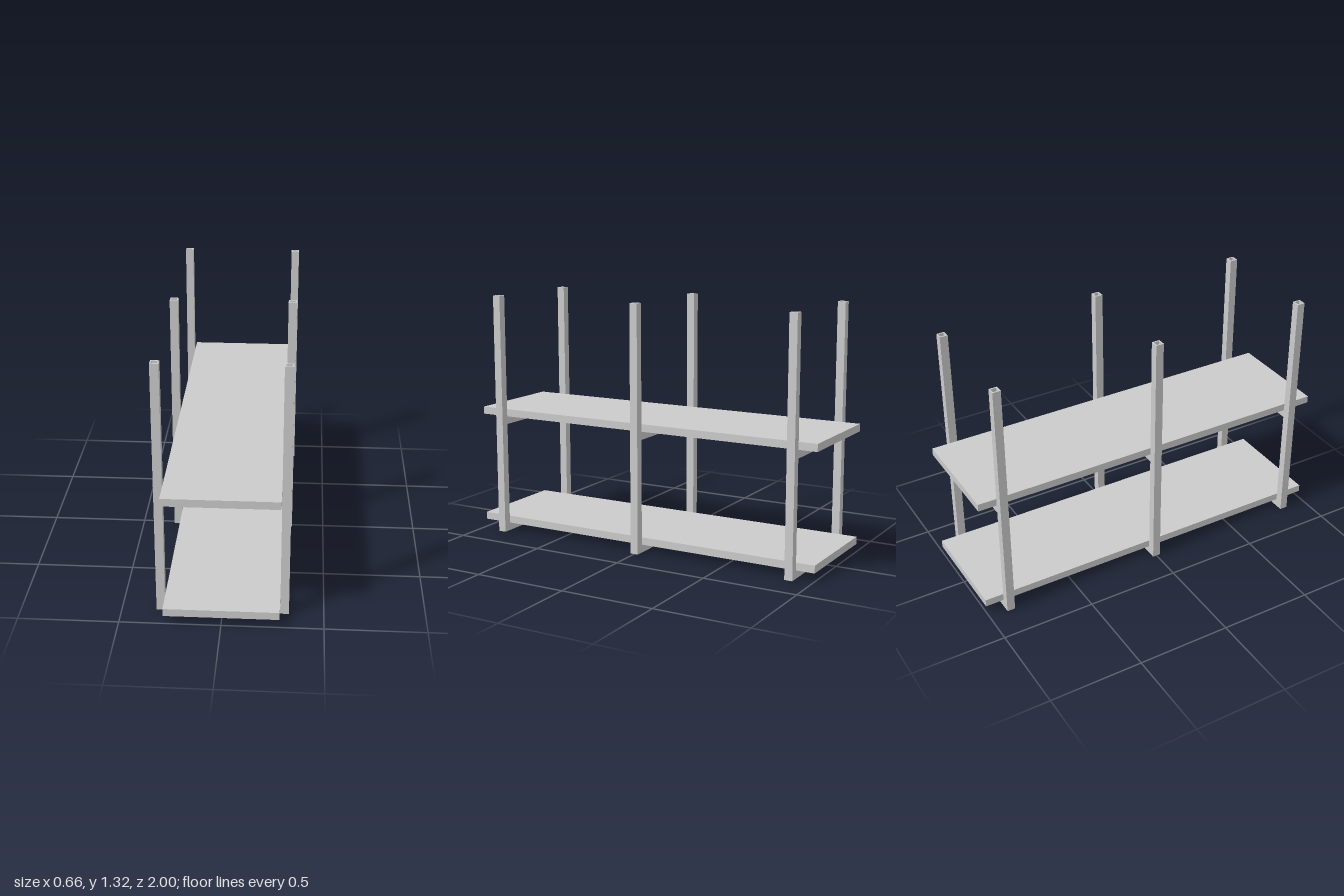
import * as THREE from 'three';

const BAR = 0.043;      // outer size of the square tube
const WALL = 0.007;     // tube wall thickness
const HEIGHT = 1.317;
const POST_X = 0.3065;  // post centre from the middle
const LEVELS = [0, 0.607];
const FRAME_Z = [0.86, 0, -0.88];

const material = new THREE.MeshStandardMaterial({ color: 0xcccccc });

function box(name, w, h, d, x, y, z) {
  const mesh = new THREE.Mesh(new THREE.BoxGeometry(w, h, d), material);
  mesh.name = name;
  mesh.position.set(x, y + h / 2, z);
  return mesh;
}

function square(Type, half) {
  const s = new Type();
  s.moveTo(-half, -half);
  s.lineTo(half, -half);
  s.lineTo(half, half);
  s.lineTo(-half, half);
  s.closePath();
  return s;
}

// Upright square tube, open at the top
function tubeGeometry(height) {
  const section = square(THREE.Shape, BAR / 2);
  section.holes.push(square(THREE.Path, BAR / 2 - WALL));
  const geometry = new THREE.ExtrudeGeometry(section, { depth: height, bevelEnabled: false });
  return geometry.rotateX(-Math.PI / 2);
}

export function createModel() {
  const model = new THREE.Group();
  model.name = 'shelfRack';
  const postGeometry = tubeGeometry(HEIGHT - BAR);

  // Three frames: two posts standing on a bottom bar, with a second bar between them
  FRAME_Z.forEach((z) => {
    const frame = new THREE.Group();
    frame.name = 'frame';
    frame.position.z = z;
    for (const side of [-1, 1]) {
      const post = new THREE.Mesh(postGeometry, material);
      post.name = side > 0 ? 'leftPost' : 'rightPost';
      post.position.set(side * POST_X, BAR, 0);
      frame.add(post);
    }
    frame.add(box('bottomCrossbar', 2 * POST_X + BAR, BAR, BAR, 0, LEVELS[0], 0));
    frame.add(box('middleCrossbar', 2 * POST_X - BAR, BAR, BAR, 0, LEVELS[1], 0));
    model.add(frame);
  });

  // Shelf boards resting on the crossbars
  LEVELS.forEach((y, i) => {
    model.add(box(i ? 'upperShelf' : 'lowerShelf', 0.568, 0.04, 2, 0, y + BAR, 0));
  });

  return model;
}
